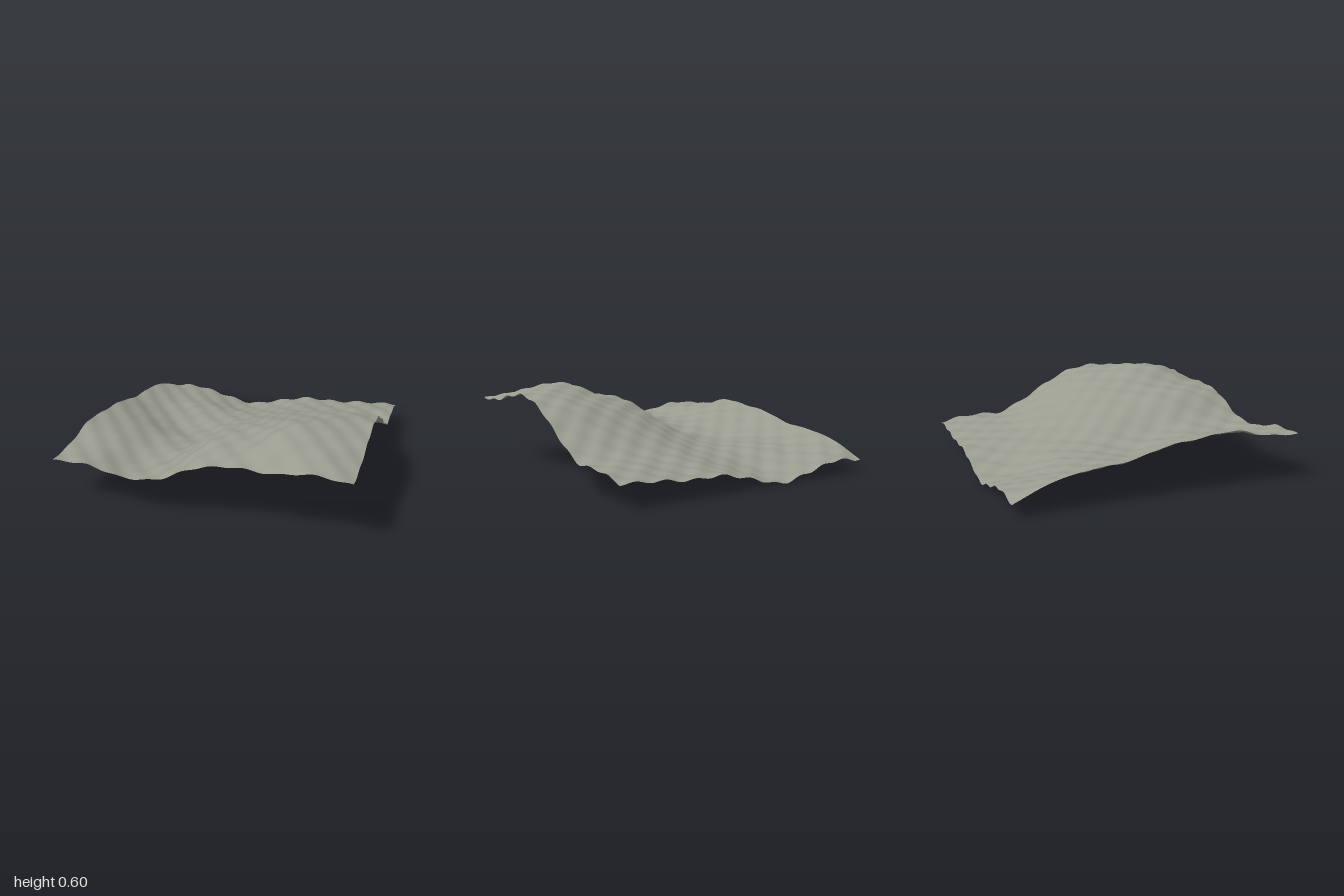
import * as THREE from 'three';

// Coarse heights: rows run from back (z = -1) to front (z = 1), columns from x = -1 to 1
const HEIGHTS = [
  [0.09, 0.11, 0.06, 0.014, 0.07, 0.125, 0.127, 0.152, 0.165],
  [0.195, 0.145, 0.10, 0.06, 0.10, 0.155, 0.17, 0.195, 0.205],
  [0.245, 0.172, 0.16, 0.143, 0.16, 0.205, 0.225, 0.23, 0.21],
  [0.27, 0.19, 0.172, 0.178, 0.22, 0.29, 0.335, 0.355, 0.335],
  [0.335, 0.24, 0.165, 0.20, 0.30, 0.395, 0.45, 0.49, 0.482],
  [0.365, 0.30, 0.23, 0.225, 0.37, 0.462, 0.52, 0.558, 0.557],
  [0.388, 0.32, 0.25, 0.28, 0.435, 0.492, 0.59, 0.585, 0.535],
  [0.335, 0.31, 0.25, 0.30, 0.45, 0.49, 0.58, 0.555, 0.487],
  [0.32, 0.327, 0.277, 0.302, 0.42, 0.472, 0.468, 0.503, 0.48],
];

// Smooth curve through evenly spaced values, for t from -1 to 1
function spline(values, t) {
  const last = values.length - 1;
  const s = THREE.MathUtils.clamp((t + 1) / 2, 0, 1) * last;
  const i = Math.min(Math.floor(s), last - 1);
  const f = s - i;
  const b = values[i], c = values[i + 1];
  const a = i > 0 ? values[i - 1] : 2 * b - c;
  const d = i + 2 <= last ? values[i + 2] : 2 * c - b;
  return b + 0.5 * f * (c - a + f * (2 * a - 5 * b + 4 * c - d + f * (3 * (b - c) + d - a)));
}

// Two crossing sets of fine diagonal ripples
function ripples(x, z) {
  const u = x + 0.92 * z, v = x - 0.9 * z;
  return 0.0045 * (Math.sin(29 * u + 2) + Math.sin(29 * v));
}

function height(x, z) {
  return spline(HEIGHTS.map((row) => spline(row, x)), z) + ripples(x, z);
}

export function createModel() {
  const group = new THREE.Group();
  group.name = 'terrain';

  const stone = new THREE.MeshStandardMaterial({ color: 0x9a9c90, side: THREE.DoubleSide });
  stone.name = 'greyStone';

  // Ground sheet, raised vertex by vertex
  const geometry = new THREE.PlaneGeometry(2, 2, 128, 128).rotateX(-Math.PI / 2);
  const p = geometry.attributes.position;
  for (let i = 0; i < p.count; i++) p.setY(i, height(p.getX(i), p.getZ(i)));

  // Rest the lowest point on the ground
  geometry.computeBoundingBox();
  geometry.translate(0, -geometry.boundingBox.min.y, 0);
  geometry.computeVertexNormals();

  const ground = new THREE.Mesh(geometry, stone);
  ground.name = 'groundSurface';
  group.add(ground);
  return group;
}
